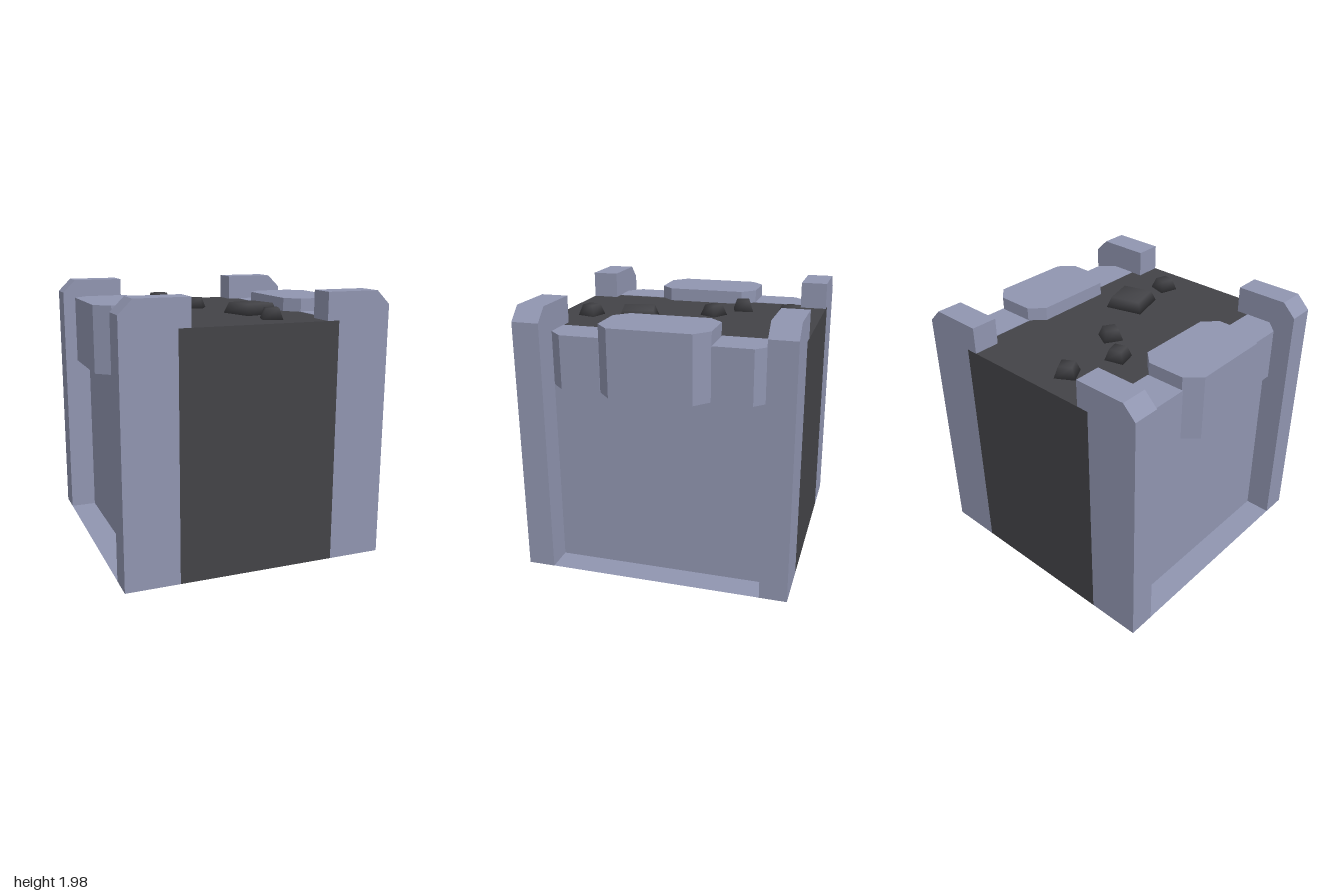
import * as THREE from 'three';
import { mergeVertices } from 'three/addons/utils/BufferGeometryUtils.js';

const mat = (name, color) => {
  const m = new THREE.MeshStandardMaterial({ color, side: THREE.DoubleSide });
  m.name = name;
  return m;
};

function named(name, geometry, material) {
  const mesh = new THREE.Mesh(geometry, material);
  mesh.name = name;
  return mesh;
}

const outline = (pts) => new THREE.Shape(pts.map(([x, y]) => new THREE.Vector2(x, y)));

// Flat-shaded strip following an xy path, spanning z0 to z1
function strip(path, z0, z1) {
  const v = [];
  for (let i = 0; i < path.length - 1; i++) {
    const [ax, ay] = path[i], [bx, by] = path[i + 1];
    v.push(ax, ay, z1, ax, ay, z0, bx, by, z0, ax, ay, z1, bx, by, z0, bx, by, z1);
  }
  const g = new THREE.BufferGeometry();
  g.setAttribute('position', new THREE.Float32BufferAttribute(v, 3));
  g.computeVertexNormals();
  return g;
}

// Upright prism from a plan outline (x, -z)
function prism(pts, y0, y1) {
  return new THREE.ExtrudeGeometry(outline(pts), { depth: y1 - y0, bevelEnabled: false })
    .rotateX(-Math.PI / 2).translate(0, y0, 0);
}

// Tapered, softly shaded lump
function rockGeometry(size, taper) {
  const g = new THREE.BoxGeometry(size, 0.08, size);
  const p = g.attributes.position;
  for (let i = 0; i < p.count; i++) {
    if (p.getY(i) > 0) p.setXYZ(i, p.getX(i) * taper, p.getY(i), p.getZ(i) * taper);
  }
  g.deleteAttribute('normal');
  g.deleteAttribute('uv');
  const merged = mergeVertices(g);
  merged.computeVertexNormals();
  return merged;
}

export function createModel() {
  const stone = mat('blueGreyStone', 0x9095b0);
  const dark = mat('charcoal', 0x434347);
  const model = new THREE.Group();
  const body = new THREE.Group();
  body.name = 'body';
  body.rotation.y = 0.01;
  model.add(body);

  const E = 0.99, I = 0.79, D = 0.59, T = 1.78, H = 1.98;

  // Dark core: front, back and top, open underneath
  for (const s of [1, -1]) {
    const panel = named(s > 0 ? 'frontPanel' : 'backPanel', new THREE.PlaneGeometry(2 * D, T), dark);
    panel.position.set(0, T / 2, s * E);
    if (s < 0) panel.rotation.y = Math.PI;
    body.add(panel);
  }
  const top = named('topPanel', new THREE.PlaneGeometry(2 * D, 2 * E).rotateX(-Math.PI / 2), dark);
  top.position.y = T;
  body.add(top);

  // Corner posts: hollow, with a chamfered outer top corner
  const crown = [[E, 0], [E, 1.88], [0.89, H], [0.5, H], [0.5, T]];
  const faceGeo = new THREE.ShapeGeometry(outline([[D, 0], ...crown, [D, T]])).translate(0, 0, E);
  const innerGeo = new THREE.ShapeGeometry(outline([[I, 0], ...crown, [I, T]])).rotateY(Math.PI)
    .scale(-1, 1, 1).translate(0, 0, I);
  // Restore the inward-facing winding after the mirror
  const idx = innerGeo.index;
  for (let i = 0; i < idx.count; i += 3) {
    const a = idx.getX(i);
    idx.setX(i, idx.getX(i + 1));
    idx.setX(i + 1, a);
  }
  innerGeo.computeVertexNormals();
  const rimGeo = strip(crown, I, E);

  // Shoulder blocks above the recessed sides
  const middleGeo = prism([[0.5, -0.3], [0.6, -0.4], [0.88, -0.4], [E, -0.3],
    [E, 0.3], [0.88, 0.4], [0.6, 0.4], [0.5, 0.3]], 1.39, 1.88);
  const endGeo = prism([[D, -I], [0.79, -I], [0.89, -0.69], [0.89, -0.4], [D, -0.4]], 1.39, T + 0.003);

  for (const sx of [1, -1]) {
    const side = new THREE.Group();
    side.name = sx > 0 ? 'leftSide' : 'rightSide';
    side.scale.x = sx;
    body.add(side);

    const wall = named('recessedWall', new THREE.PlaneGeometry(2 * I, 1.4).rotateY(Math.PI / 2), stone);
    wall.position.set(I, 0.7, 0);
    const ledge = named('baseLedge', new THREE.PlaneGeometry(E - I, 2 * I).rotateX(-Math.PI / 2), stone);
    ledge.position.set((E + I) / 2, 0.001, 0);
    side.add(wall, ledge, named('middleBlock', middleGeo, stone));

    for (const sz of [1, -1]) {
      const corner = new THREE.Group();
      corner.name = sz > 0 ? 'frontPost' : 'backPost';
      corner.scale.z = sz;
      corner.add(
        named('postFace', faceGeo, stone),
        named('postInnerFace', innerGeo, stone),
        named('postRim', rimGeo, stone),
        named('endBlock', endGeo, stone));
      side.add(corner);
    }
  }

  // Lumps scattered on top: x, z, size, turn
  const rocks = [
    [0.21, 0.34, 0.29, 0.28], [-0.18, -0.75, 0.15, 0.54], [-0.29, -0.36, 0.145, 0.28],
    [-0.05, -0.18, 0.145, -0.51], [0.2, 0.73, 0.145, -0.28],
  ];
  for (const [x, z, size, turn] of rocks) {
    const rock = named('rock', rockGeometry(size, size > 0.2 ? 0.8 : 0.65), dark);
    rock.position.set(x, T + 0.04, z);
    rock.rotation.y = turn;
    model.add(rock);
  }
  return model;
}
